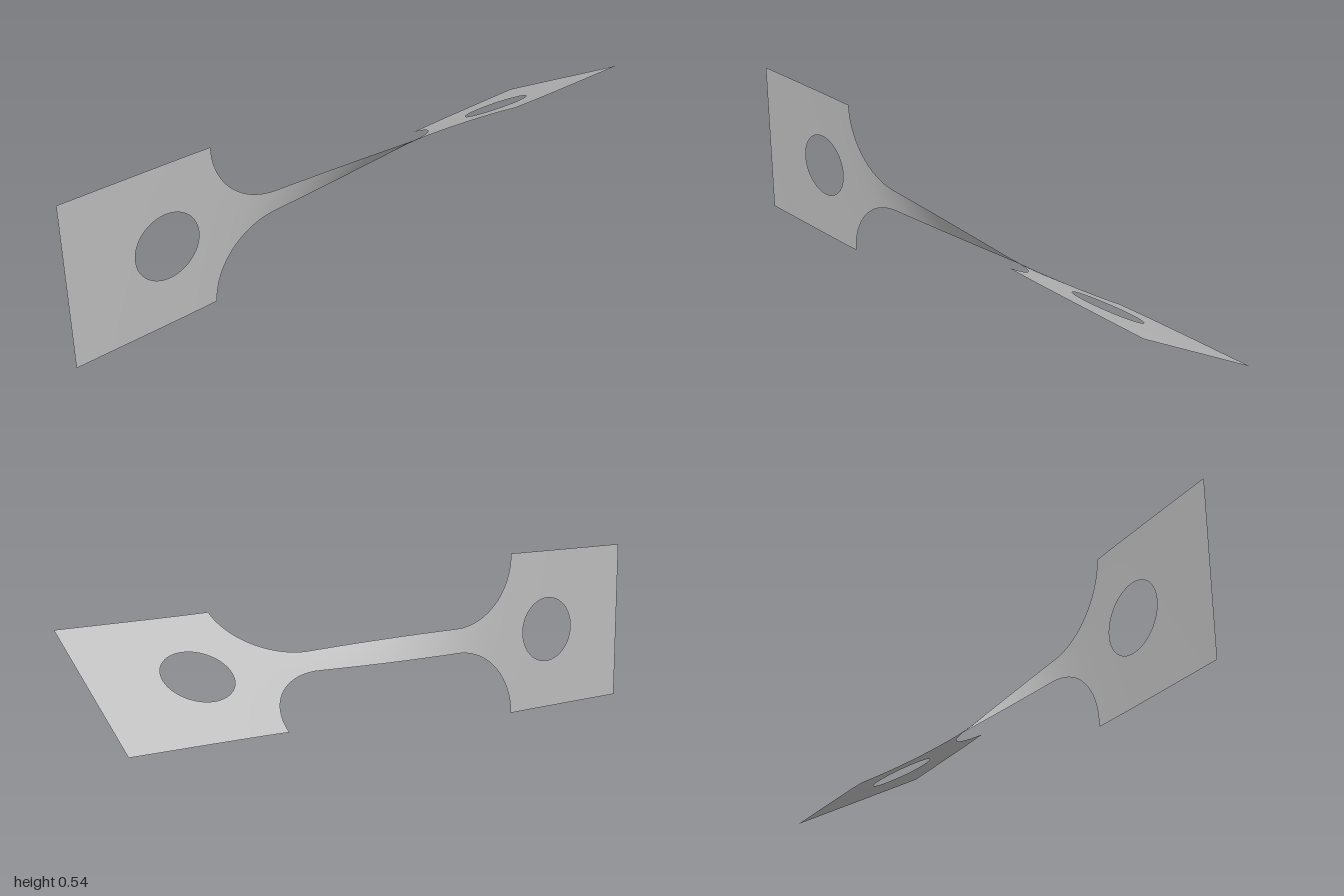
import * as THREE from 'three';
import { mergeVertices } from 'three/addons/utils/BufferGeometryUtils.js';

const HALF = 0.2705;      // half height of the end tabs
const NECK = 0.04;        // half height of the neck
const TAB_X = 0.508;      // where the tabs begin
const FILLET = HALF - NECK;
const HOLE_X = 0.67, HOLE_R = 0.109;

// Half of the twist, in degrees from the middle, as a smooth curve over |x|
const twistKeys = [[0, 0], [0.14, 10.5], [0.28, 21], [0.35, 25.2], [0.42, 27.6], [0.508, 28.7], [0.67, 29.4], [1, 30]];
function twist(x) {
  const a = Math.abs(x);
  let i = 0;
  while (i < twistKeys.length - 2 && a > twistKeys[i + 1][0]) i++;
  const slope = (k) => {
    const p = twistKeys[Math.max(k - 1, 0)], q = twistKeys[Math.min(k + 1, twistKeys.length - 1)];
    return (q[1] - p[1]) / (q[0] - p[0]);
  };
  const [x0, y0] = twistKeys[i], [x1, y1] = twistKeys[i + 1];
  const d = x1 - x0, t = (a - x0) / d, t2 = t * t, t3 = t2 * t;
  const deg = (2 * t3 - 3 * t2 + 1) * y0 + (t3 - 2 * t2 + t) * d * slope(i)
    + (3 * t2 - 2 * t3) * y1 + (t3 - t2) * d * slope(i + 1);
  return THREE.MathUtils.degToRad(30 + Math.sign(x) * deg);
}

// Outer edge: straight tab, quarter-round fillet, straight neck
function outer(x) {
  const a = Math.abs(x), d = a - (TAB_X - FILLET);
  if (a >= TAB_X - 1e-6) return HALF;
  if (d <= 0) return NECK;
  return HALF - Math.sqrt(Math.max(FILLET * FILLET - d * d, 0));
}

// Inner edge: the round hole, or the centre line elsewhere
function inner(x) {
  const d = Math.abs(x) - HOLE_X;
  return Math.sqrt(Math.max(HOLE_R * HOLE_R - d * d, 0));
}

// Stations along x, crowded where an edge turns steeply
const range = (n, f) => Array.from({ length: n + 1 }, (_, i) => f(i / n));
const tabStations = [
  ...range(6, (t) => TAB_X + t * (HOLE_X - HOLE_R - TAB_X)),
  ...range(40, (t) => HOLE_X - HOLE_R * Math.cos(t * Math.PI)).slice(1),
  ...range(10, (t) => HOLE_X + HOLE_R + t * (1 - HOLE_X - HOLE_R)).slice(1),
];
const halfNeck = [
  ...range(24, (t) => t * (TAB_X - FILLET)),
  ...range(28, (t) => TAB_X - FILLET + FILLET * Math.sin(t * Math.PI / 2)).slice(1),
];
const mirrored = (list) => list.map((x) => -x).reverse();

// Twisted sheet: upper and lower strips between inner and outer edges
function sheet(stations) {
  const rows = 8, positions = [], index = [];
  for (const side of [1, -1]) {
    const start = positions.length / 3;
    for (const x of stations) {
      const a = twist(x), lo = inner(x), hi = outer(x);
      for (let j = 0; j <= rows; j++) {
        const v = side * (lo + (hi - lo) * j / rows);
        positions.push(x, HALF + v * Math.cos(a), v * Math.sin(a));
      }
    }
    for (let i = 0; i < stations.length - 1; i++) {
      for (let j = 0; j < rows; j++) {
        const p = start + i * (rows + 1) + j, q = p + rows + 1;
        if (side > 0) index.push(p, q, q + 1, p, q + 1, p + 1);
        else index.push(p, q + 1, q, p, p + 1, q + 1);
      }
    }
  }
  const geometry = new THREE.BufferGeometry();
  geometry.setAttribute('position', new THREE.Float32BufferAttribute(positions, 3));
  geometry.setIndex(index);
  const merged = mergeVertices(geometry, 1e-5);
  merged.computeVertexNormals();
  return merged;
}

export function createModel() {
  const metal = new THREE.MeshStandardMaterial({ color: 0xc0c0c0, side: THREE.DoubleSide });
  metal.name = 'plain grey metal';
  const group = new THREE.Group();
  group.name = 'twistedStrap';
  const parts = {
    rightTab: mirrored(tabStations),
    twistedNeck: [...mirrored(halfNeck), ...halfNeck.slice(1)],
    leftTab: tabStations,
  };
  for (const [name, stations] of Object.entries(parts)) {
    const mesh = new THREE.Mesh(sheet(stations), metal);
    mesh.name = name;
    group.add(mesh);
  }
  return group;
}
